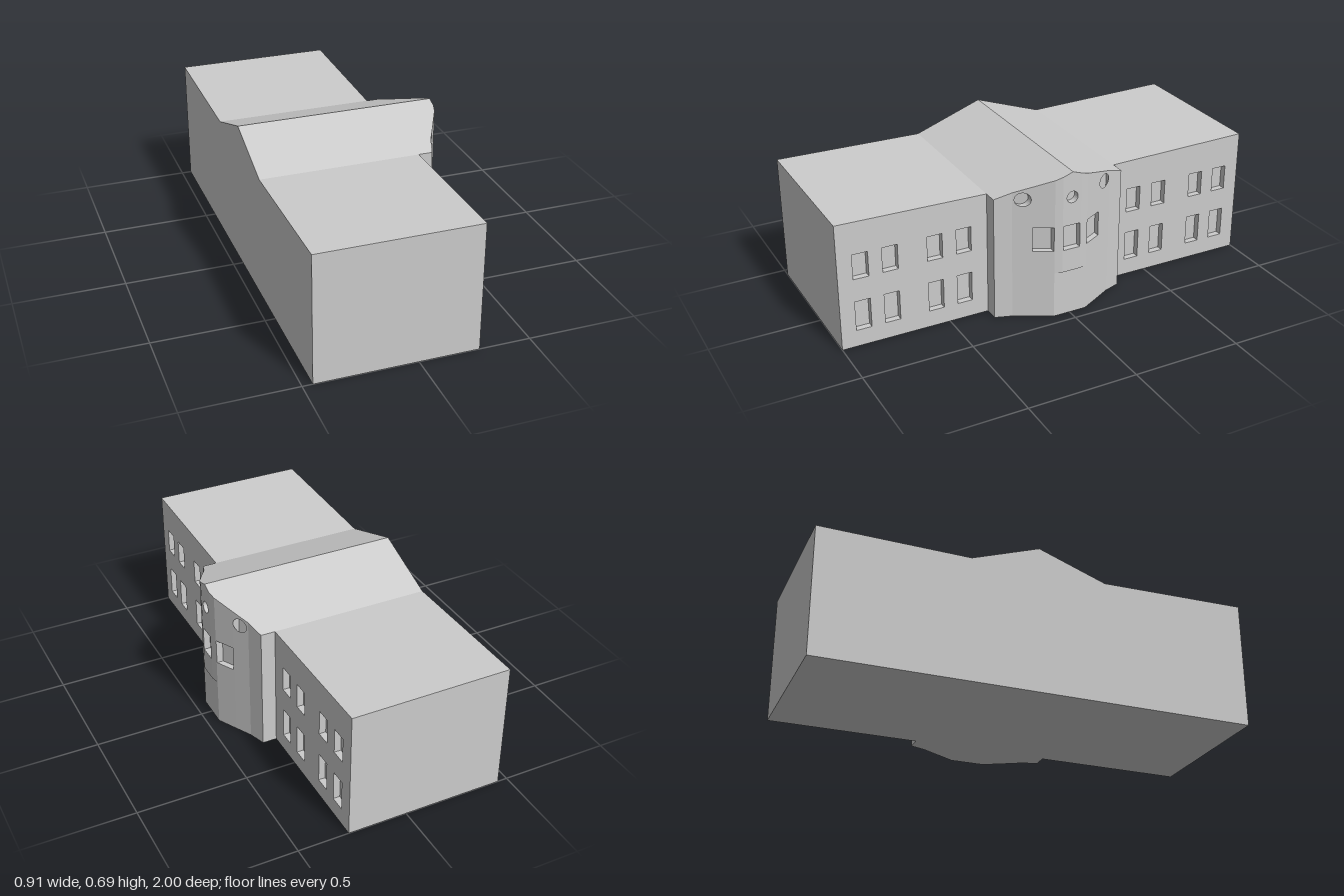
import * as THREE from 'three';

const stone = new THREE.MeshStandardMaterial({ color: 0xcccccc });
stone.name = 'stone';

const WALL = 0.03;   // depth of the window recesses
const FACADE = 0.27; // x of the wing facade

// Gable height across the central bay
const gableY = (u) => 0.69 - 0.112 * Math.abs(u) / 0.315;

function rectHole(u0, u1, y0, y1) {
  return new THREE.Path([[u0, y0], [u1, y0], [u1, y1], [u0, y1]].map((p) => new THREE.Vector2(...p)));
}

function roundHole(u, y, r) {
  return new THREE.Path().absarc(u, y, r, 0, Math.PI * 2, true);
}

// Outline in (u = -z, y), extruded back from the front surface x = front(u)
function slab(name, points, holes, front, depth) {
  const shape = new THREE.Shape(points.map((p) => new THREE.Vector2(...p)));
  shape.holes = holes;
  const geo = new THREE.ExtrudeGeometry(shape, { depth, bevelEnabled: false, curveSegments: 12 });
  const pos = geo.attributes.position;
  for (let i = 0; i < pos.count; i++) {
    pos.setZ(i, pos.getZ(i) - depth + front(pos.getX(i)));
  }
  geo.rotateY(Math.PI / 2);
  geo.computeVertexNormals();
  const mesh = new THREE.Mesh(geo, stone);
  mesh.name = name;
  return mesh;
}

export function createModel() {
  const building = new THREE.Group();
  building.name = 'building';

  // Main block: two wings with a low gable running through the middle
  const section = [[-1, 0], [1, 0], [1, 0.59], [0.315, 0.578], [0, 0.69], [-0.315, 0.578], [-1, 0.59]];
  building.add(slab('mainBlock', section, [], () => FACADE - WALL, FACADE - WALL + 0.455));

  // Facade wall pierced by two rows of wing windows
  const windows = [];
  for (const side of [-1, 1]) {
    for (const u of [0.426, 0.561, 0.765, 0.897]) {
      for (const [y0, y1] of [[0.078, 0.217], [0.324, 0.44]]) {
        windows.push(rectHole(side * u - 0.035, side * u + 0.035, y0, y1));
      }
    }
  }
  building.add(slab('facadeWall', section, windows, () => FACADE, WALL));

  // Projecting bay made of flat facets: [u, x] plan points from edge to centre
  const bay = new THREE.Group();
  bay.name = 'entranceBay';
  const plan = [[0.315, 0.335], [0.24, 0.36], [0.166, 0.4], [0.079, 0.446], [0.045, 0.455]];

  function facet(a, b, bottom, holes) {
    const front = (u) => a[1] + (b[1] - a[1]) * (u - a[0]) / (b[0] - a[0]);
    const points = [[a[0], bottom], [b[0], bottom], [b[0], gableY(b[0])]];
    if (a[0] * b[0] < 0) points.push([0, gableY(0)]);
    points.push([a[0], gableY(a[0])]);
    bay.add(slab('bayWall', points, holes, front, WALL));
    bay.add(slab('bayCore', points, [], (u) => front(u) - WALL, 0.17));
  }

  for (const side of [-1, 1]) {
    const holes = [
      [],
      [roundHole(side * 0.2, 0.572, 0.032)],
      [rectHole(side * 0.081, side * 0.163, 0.324, 0.44)],
      [],
    ];
    for (let i = 0; i < 4; i++) {
      const a = [side * plan[i][0], plan[i][1]];
      const b = [side * plan[i + 1][0], plan[i + 1][1]];
      facet(a, b, i === 3 ? 0.217 : 0, holes[i]);
    }
  }

  // Centre facet with one window and a round light above the door
  facet([-0.045, 0.455], [0.045, 0.455], 0.217,
    [rectHole(-0.04, 0.04, 0.324, 0.44), roundHole(0, 0.572, 0.027)]);

  // Flat door panel under the centre facets
  bay.add(slab('door', [[-0.079, 0], [0.079, 0], [0.079, 0.217], [-0.079, 0.217]], [], () => 0.446, 0.19));

  building.add(bay);
  return building;
}
